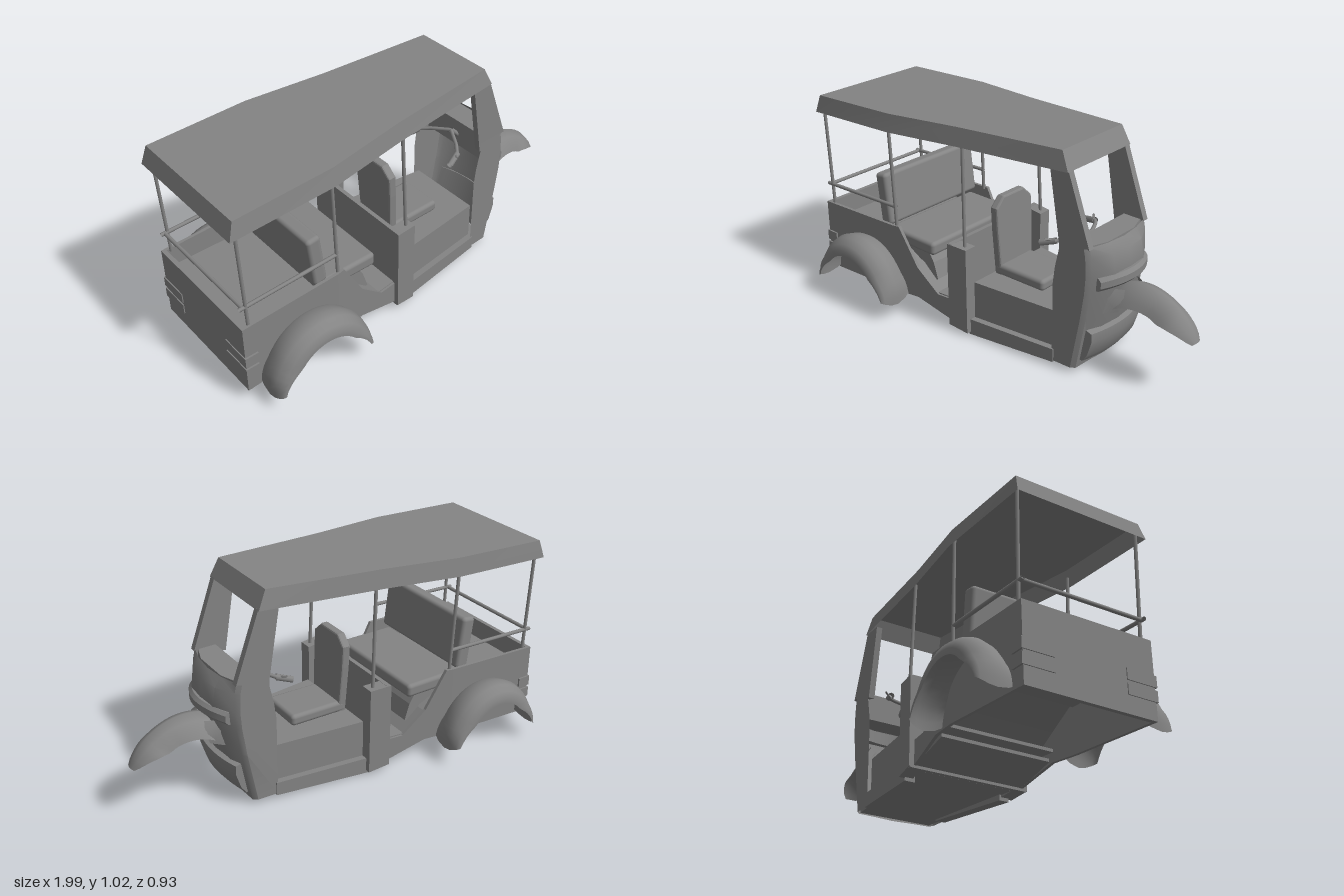
import * as THREE from 'three';
import { toCreasedNormals } from 'three/addons/utils/BufferGeometryUtils.js';
import { RoundedBoxGeometry } from 'three/addons/geometries/RoundedBoxGeometry.js';
import { ConvexGeometry } from 'three/addons/geometries/ConvexGeometry.js';

const mat = new THREE.MeshStandardMaterial({ color: 0x848484, side: THREE.DoubleSide });
const V = (x, y, z) => new THREE.Vector3(x, y, z);
// Half-width of the body along its length
const halfWidth = (x) => (x < -0.5 ? 0.315 : 0.315 - 0.11 * (x + 0.5));

// Move every vertex of a geometry by a rule
function warp(geo, rule) {
  const p = geo.attributes.position, v = V(0, 0, 0);
  for (let i = 0; i < p.count; i++) {
    v.fromBufferAttribute(p, i);
    rule(v);
    p.setXYZ(i, v.x, v.y, v.z);
  }
  geo.computeVertexNormals();
  return geo;
}

// Skin a grid of points, one row per cross-section
function skin(rows, crease = 0.5) {
  const n = rows[0].length, index = [];
  for (let i = 0; i < rows.length - 1; i++)
    for (let j = 0; j < n - 1; j++) {
      const a = i * n + j, b = a + n;
      index.push(a, b, a + 1, b, b + 1, a + 1);
    }
  const geo = new THREE.BufferGeometry().setFromPoints(rows.flat());
  geo.setIndex(index);
  return toCreasedNormals(geo, crease);
}

// Side outline extruded across z, from z0 to z1
function slab(points, z0, z1) {
  const shape = new THREE.Shape(points.map(([x, y]) => new THREE.Vector2(x, y)));
  return new THREE.ExtrudeGeometry(shape, { depth: z1 - z0, bevelEnabled: false }).translate(0, 0, z0);
}

function rod(points, r) {
  const path = new THREE.CurvePath();
  for (let i = 1; i < points.length; i++) path.add(new THREE.LineCurve3(points[i - 1], points[i]));
  return new THREE.TubeGeometry(path, 12, r, 8);
}

// Box bowed back towards its ends, with eased front edges
function bowed(w, h, d, bow, tilt, x, y) {
  const geo = warp(new THREE.BoxGeometry(w, h, d, 2, 4, 12), (v) => {
    const edge = Math.abs(v.y) > h * 0.4 && v.x > 0 ? 0.014 : 0;
    v.x -= bow * v.z * v.z + edge;
    v.y -= 0.4 * v.z * v.z;
  });
  return toCreasedNormals(geo.rotateZ(tilt).translate(x, y, 0), 0.5);
}

export function createModel() {
  const model = new THREE.Group();
  const add = (name, geo, parent = model) => {
    const mesh = new THREE.Mesh(geo, mat);
    mesh.name = name;
    parent.add(mesh);
    return mesh;
  };
  const box = (name, x0, x1, y0, y1, z0, z1) =>
    add(name, new THREE.BoxGeometry(x1 - x0, y1 - y0, z1 - z0).translate((x0 + x1) / 2, (y0 + y1) / 2, (z0 + z1) / 2));
  // Box across the body that follows its taper, inset from the sides
  const cross = (name, x0, x1, y0, y1, inset) =>
    warp(box(name, x0, x1, y0, y1, -1, 1).geometry, (v) => { v.z *= halfWidth(v.x) - inset; });
  const cushion = (name, w, h, d, x, y, tilt = 0) =>
    add(name, new RoundedBoxGeometry(w, h, d, 3, 0.018).rotateZ(tilt).translate(x, y, 0));

  // Roof: an open shell with sloping edges
  const roofRow = ([xb, yb, b, xt, yt, t]) => [V(xb, yb, -b), V(xt, yt, -t), V(xt, yt, t), V(xb, yb, b)];
  const sections = [
    [-1, 0.89, 0.325, -0.975, 0.975, 0.313], [-0.5, 0.909, 0.322, -0.5, 0.994, 0.308],
    [-0.12, 0.923, 0.268, -0.12, 1.009, 0.253], [0.46, 0.945, 0.212, 0.42, 1.03, 0.2]];
  const lip = ([xb, yb, b, , , t]) => roofRow([xb, yb, b, xb, yb, t]);
  add('roof', skin([lip(sections[0]), ...sections.map(roofRow), lip(sections[3])], 0.2));

  // Rear body: rear wall, load floor, footwell and underbody
  box('rearWall', -0.985, -0.965, 0.07, 0.42, -0.315, 0.315);
  cross('loadFloor', -0.97, -0.5, 0.31, 0.325, 0.01);
  cross('footwellFloor', -0.37, -0.13, 0.145, 0.16, 0.01);
  add('footwellSlope', slab([[-0.5, 0.325], [-0.36, 0.25], [-0.25, 0.16], [-0.25, 0.145], [-0.37, 0.235], [-0.5, 0.31]], -0.285, 0.285));
  add('footwellSkirt', slab([[-0.36, 0.1], [-0.13, 0.036], [-0.13, 0.05], [-0.36, 0.115]], -0.27, 0.27));

  // Partition behind the driver
  box('partition', -0.155, -0.135, 0.03, 0.455, -0.295, 0.295);

  // Driver platform, floor and seat
  cross('driverPlatform', -0.05, 0.4, 0.06, 0.268, 0.03);
  cross('driverFloor', -0.13, 0.5, 0.032, 0.045, 0.02);
  cushion('driverCushion', 0.29, 0.055, 0.22, 0.105, 0.298, 0.02);
  const back = new THREE.Shape();
  back.moveTo(-0.1, 0.28);
  back.lineTo(-0.11, 0.5);
  back.lineTo(-0.11, 0.6);
  back.lineTo(-0.065, 0.643);
  back.lineTo(0.065, 0.643);
  back.lineTo(0.11, 0.6);
  back.lineTo(0.11, 0.5);
  back.lineTo(0.1, 0.28);
  const backGeo = new THREE.ExtrudeGeometry(back, { depth: 0.025, bevelSize: 0.008, bevelThickness: 0.008, bevelSegments: 2 });
  add('driverBackrest', backGeo.rotateY(Math.PI / 2).rotateZ(0.05).translate(-0.018, 0, 0));

  // Passenger bench
  cushion('benchCushion', 0.3, 0.065, 0.56, -0.42, 0.372);
  cushion('benchBackrest', 0.07, 0.255, 0.585, -0.586, 0.542, 0.12);
  add('benchBase', slab([[-0.5, 0.345], [-0.35, 0.345], [-0.31, 0.28], [-0.285, 0.2], [-0.3, 0.19], [-0.37, 0.26], [-0.5, 0.31]], -0.24, 0.24));

  // Front cowl: plan outline lofted upward [y, rear x, corner x, nose x]
  const cowl = [[0.03, 0.39, 0.51, 0.525], [0.28, 0.39, 0.555, 0.6], [0.42, 0.39, 0.575, 0.63], [0.5, 0.4, 0.58, 0.645],
    [0.59, 0.42, 0.575, 0.63], [0.635, 0.42, 0.565, 0.6]].map(([y, r, c, f]) => {
    const half = [V(r, y, 0.21), V(c - 0.02, y, 0.205), V(c, y, 0.19), V(f - 0.01, y, 0.1), V(f, y, 0)];
    return [...half, ...half.slice(0, 4).reverse().map((p) => V(p.x, p.y, -p.z))];
  });
  add('cowl', skin(cowl, 0.6));
  add('dashboard', new ConvexGeometry([0.634, 0.5].flatMap((y) => [-1, 1].flatMap((s) =>
    [V(0.47, y, s * 0.2), V(0.55, y, s * 0.19), V(0.585, y, s * 0.09)]))));

  // Curved parts on the nose
  add('lampBand', bowed(0.06, 0.062, 0.335, 2, 0, 0.638, 0.476));
  add('lowerGrille', bowed(0.045, 0.16, 0.345, 0.9, -0.3, 0.574, 0.148));

  // Front mudguard: arched strip, rounded at the tip and flared at the root
  const guard = [];
  for (let i = 0; i <= 20; i++) {
    const t = i / 20, a = THREE.MathUtils.degToRad(22 + 98 * t);
    const w = 0.082 * Math.pow(Math.min(1, t * 4 + 0.08), 0.4) + 0.05 * Math.max(0, t - 0.5);
    const drop = 0.085 * Math.min(1, 0.1 + t * 2.5);
    guard.push([-1, -0.85, -0.5, 0, 0.5, 0.85, 1].map((u) => {
      const r = 0.282 - drop * Math.pow(Math.abs(u), 2.2);
      return V(0.73 + r * Math.cos(a), 0.165 + r * Math.sin(a), w * u);
    }));
  }
  add('frontMudguard', skin(guard, 1));

  // Steering stem
  add('steeringStem', rod([V(0.5, 0.53, 0), V(0.43, 0.6, 0)], 0.012));

  for (const s of [1, -1]) {
    const side = new THREE.Group();
    side.name = s > 0 ? 'leftSide' : 'rightSide';
    model.add(side);
    const put = (name, geo) => add(name, geo, side);
    const flank = (geo) => warp(geo, (v) => { v.z = (v.z + halfWidth(v.x)) * s; });

    // Body side panel, sill and door pillar
    put('rearPanel', flank(slab([[-0.985, 0.07], [-0.985, 0.42], [-0.5, 0.44], [-0.465, 0.443], [-0.36, 0.26], [-0.24, 0.155],
      [-0.13, 0.155], [-0.13, 0.035], [-0.36, 0.1], [-0.5, 0.095]], -0.015, 0)));
    put('sill', flank(slab([[-0.06, 0.005], [-0.06, 0.085], [0.4, 0.09], [0.4, 0.025]], -0.05, 0)));
    put('doorPillar', flank(slab([[-0.155, 0.035], [-0.155, 0.455], [-0.05, 0.45], [-0.05, 0.02]], -0.04, 0.024)));

    // Windscreen pillar
    put('windscreenPillar', slab([[0.42, 0.59], [0.565, 0.635], [0.575, 0.63], [0.458, 0.95], [0.36, 0.95]], s * 0.19 - 0.015, s * 0.19 + 0.015));

    // Roof posts and guard rail: top x, bottom x, bottom y, top z, bottom z
    const posts = [[-0.965, -0.945, 0.41, 0.302, 0.298], [-0.51, -0.49, 0.43, 0.302, 0.298], [-0.095, -0.08, 0.44, 0.249, 0.262]];
    for (const [xt, xb, yb, zt, zb] of posts)
      put('roofPost', rod([V(xb, yb, s * zb), V(xt, 0.945, s * zt)], 0.008));
    put('guardRail', rod([V(-0.98, 0.517, s * 0.298), V(-0.49, 0.535, s * 0.298)], 0.009));

    // Rear mudguard: part of a turned profile around the axle, its lip fading out at the ends
    const profile = [[0.245, 0.305], [0.264, 0.335], [0.276, 0.385], [0.268, 0.42], [0.245, 0.452], [0.215, 0.465], [0.19, 0.465]]
      .map(([r, z]) => new THREE.Vector2(r, z));
    const arch = new THREE.LatheGeometry(profile, 24, Math.PI / 2, Math.PI + 0.05).rotateX(Math.PI / 2);
    put('rearMudguard', warp(arch, (v) => {
      const end = Math.max(0, 1 - v.y / 0.12);
      const x = v.x + Math.sign(v.x) * Math.min(1, end) * 0.6 * (0.276 - Math.abs(v.x));
      const lift = 0.025 * Math.min(1, end) * ((v.z - 0.385) / 0.08) ** 2;
      v.set(x * 0.93 - 0.67, v.y + 0.08 + lift, v.z * s);
    }));

    // Tail lamps wrapping the rear corner
    for (const y of [0.175, 0.238])
      put('tailLamp', new THREE.BoxGeometry(0.065, 0.05, 0.15).translate(-0.957, y, s * 0.248));

    // Handlebar arm, grip and lever
    put('handlebar', rod([V(0.43, 0.6, 0), V(0.38, 0.585, s * 0.09), V(0.34, 0.573, s * 0.14)], 0.009));
    put('handleGrip', rod([V(0.345, 0.575, s * 0.135), V(0.275, 0.553, s * 0.16)], 0.015));
    put('brakeLever', rod([V(0.34, 0.575, s * 0.13), V(0.31, 0.582, s * 0.17)], 0.005));

    // Flared flap beside the front mudguard
    put('mudguardFlap', skin([[V(0.66, 0.42, s * 0.06), V(0.6, 0.42, s * 0.09)],
      [V(0.67, 0.37, s * 0.085), V(0.61, 0.37, s * 0.115)], [V(0.655, 0.325, s * 0.095), V(0.6, 0.315, s * 0.132)]]));
  }
  add('rearRail', rod([V(-0.962, 0.517, -0.3), V(-0.962, 0.517, 0.3)], 0.009));
  return model;
}
